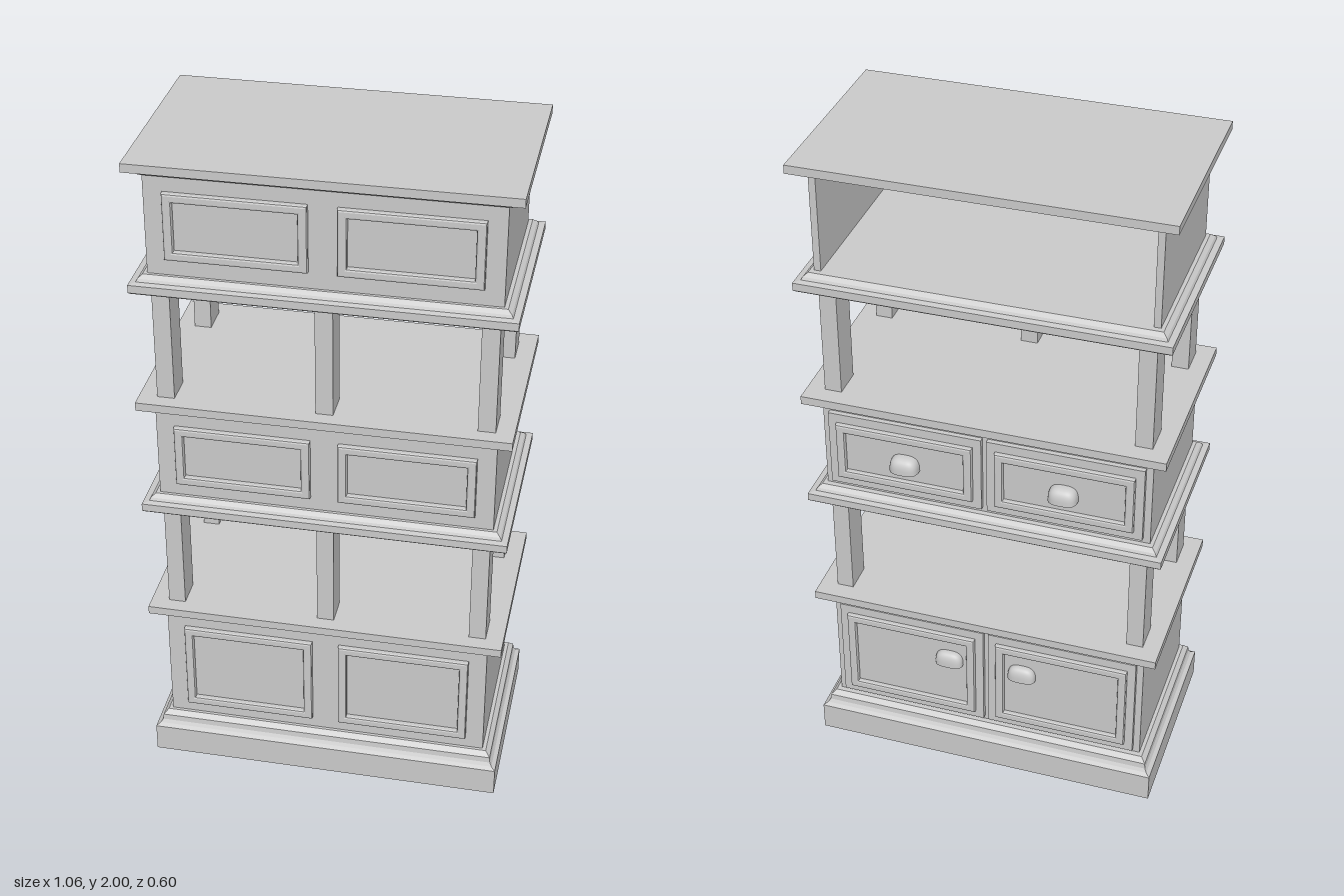
import * as THREE from 'three';

const HX = 0.53, HZ = 0.3; // outer half width and half depth
const material = new THREE.MeshStandardMaterial({ color: 0xcccccc });
const thin = new THREE.MeshStandardMaterial({ color: 0xcccccc, side: THREE.DoubleSide });

export function createModel() {
  const model = new THREE.Group();

  const add = (name, geometry, mat = material) => {
    const mesh = new THREE.Mesh(geometry, mat);
    mesh.name = name;
    model.add(mesh);
    return mesh;
  };

  // Box given by its limits on each axis
  const box = (name, x0, x1, y0, y1, z0, z1) =>
    add(name, new THREE.BoxGeometry(x1 - x0, y1 - y0, z1 - z0))
      .position.set((x0 + x1) / 2, (y0 + y1) / 2, (z0 + z1) / 2);

  // Rectangular slab with moulded edges; profile is a list of [inset, y] going up
  const moulding = (name, profile) => {
    const pos = [], index = [];
    for (const [d, y] of profile) {
      const x = HX - d, z = HZ - d;
      pos.push(-x, y, z, x, y, z, x, y, -z, -x, y, -z);
    }
    for (let r = 0; r < profile.length - 1; r++) {
      for (let i = 0; i < 4; i++) {
        const a = r * 4 + i, b = r * 4 + (i + 1) % 4;
        index.push(a, b, b + 4, a, b + 4, a + 4);
      }
    }
    const t = (profile.length - 1) * 4;
    index.push(0, 2, 1, 0, 3, 2, t, t + 1, t + 2, t, t + 2, t + 3);
    const indexed = new THREE.BufferGeometry();
    indexed.setAttribute('position', new THREE.Float32BufferAttribute(pos, 3));
    indexed.setIndex(index);
    const geometry = indexed.toNonIndexed();
    geometry.computeVertexNormals();
    add(name, geometry);
  };

  const rect = (target, x0, x1, y0, y1) => {
    target.moveTo(x0, y0);
    target.lineTo(x1, y0);
    target.lineTo(x1, y1);
    target.lineTo(x0, y1);
    target.closePath();
    return target;
  };

  // Bevelled picture-frame trim lying on the plane z, facing the front or the back
  const frame = (name, x0, x1, y0, y1, z, facing, height) => {
    const b = 0.006, w = 0.026;
    const shape = rect(new THREE.Shape(), x0 + b, x1 - b, y0 + b, y1 - b);
    shape.holes.push(rect(new THREE.Path(), x0 + w - b, x1 - w + b, y0 + w - b, y1 - w + b));
    const geometry = new THREE.ExtrudeGeometry(shape, {
      depth: height - b, bevelEnabled: true, bevelThickness: b, bevelSize: b, bevelSegments: 2,
    });
    if (facing < 0) {
      geometry.translate(-(x0 + x1) / 2, 0, 0);
      geometry.rotateY(Math.PI);
      geometry.translate((x0 + x1) / 2, 0, 0);
    }
    add(name, geometry).position.z = z;
  };

  // Cup pull: quarter dome squared off a little, open underneath
  const cupPull = (name, x, y, z, depth) => {
    const geometry = new THREE.SphereGeometry(1, 20, 10, Math.PI, Math.PI, 0, Math.PI / 2);
    const p = geometry.attributes.position;
    const square = (v) => Math.sign(v) * Math.abs(v) ** 0.65;
    for (let i = 0; i < p.count; i++) {
      p.setXYZ(i, square(p.getX(i)) * 0.043, square(p.getY(i)) * 0.047, -square(Math.abs(p.getZ(i))) * depth);
    }
    geometry.computeVertexNormals();
    add(name, geometry, thin).position.set(x, y, z);
  };

  const topEdge = (y) => [[0.037, y - 0.045], [0.03, y - 0.038], [0.022, y - 0.028], [0.02, y - 0.025], [0, y - 0.025], [0, y]];
  const bottomEdge = (y) => [[0.004, y], [0, y + 0.004], [0, y + 0.027], [0.018, y + 0.03], [0.022, y + 0.038], [0.034, y + 0.048]];

  // Plinth, shelves and top
  moulding('plinth', [[0, 0], [0, 0.088], [0.012, 0.095], [0.018, 0.105], [0.02, 0.122], [0.034, 0.136]]);
  moulding('lowerShelfTop', topEdge(0.555));
  moulding('middleShelfBottom', bottomEdge(0.9));
  moulding('middleShelfTop', topEdge(1.27));
  moulding('upperShelfBottom', bottomEdge(1.615));
  moulding('cabinetTop', topEdge(2));

  // Two closed cabinets and the upper one, which is open at the back
  const BX = 0.485, FZ = 0.257, BZ = -0.25, wall = 0.02;
  box('lowerCabinet', -BX, BX, 0.12, 0.53, BZ, FZ);
  box('middleCabinet', -BX, BX, 0.93, 1.24, BZ, FZ);
  box('upperFrontWall', -BX, BX, 1.65, 1.97, FZ - wall, FZ);
  for (const s of [-1, 1]) {
    const c = s * (BX - wall / 2);
    box('upperSideWall', c - wall / 2, c + wall / 2, 1.65, 1.97, BZ, FZ - wall);
  }

  // Posts: three at the front, two at the back
  for (const [y0, y1] of [[0.55, 0.905], [1.265, 1.62]]) {
    for (const x of [-0.453, 0, 0.453]) {
      box('frontPost', x - 0.025, x + 0.025, y0, y1, 0.165, 0.255);
      if (x !== 0) box('backPost', x - 0.025, x + 0.025, y0, y1, -0.245, -0.153);
    }
  }

  for (const s of [-1, 1]) {
    const span = (a, b) => (s > 0 ? [a, b] : [-b, -a]);

    // Front panel trim
    for (const [y0, y1] of [[0.175, 0.465], [0.99, 1.18], [1.713, 1.91]]) {
      frame('frontPanelTrim', ...span(0.04, 0.432), y0, y1, FZ, 1, 0.017);
    }

    // Doors and drawers on the back
    for (const [name, y0, y1] of [['door', 0.15, 0.495], ['drawer', 0.965, 1.205]]) {
      box(name, ...span(0.008, 0.465), y0, y1, -0.265, BZ + 0.005);
      frame(name + 'Trim', ...span(0.033, 0.44), y0 + 0.028, y1 - 0.028, -0.265, -1, 0.015);
    }
    cupPull('doorPull', s * 0.115, 0.353, -0.264, 0.028);
    cupPull('drawerPull', s * 0.235, 1.06, -0.264, 0.04);
  }

  return model;
}
